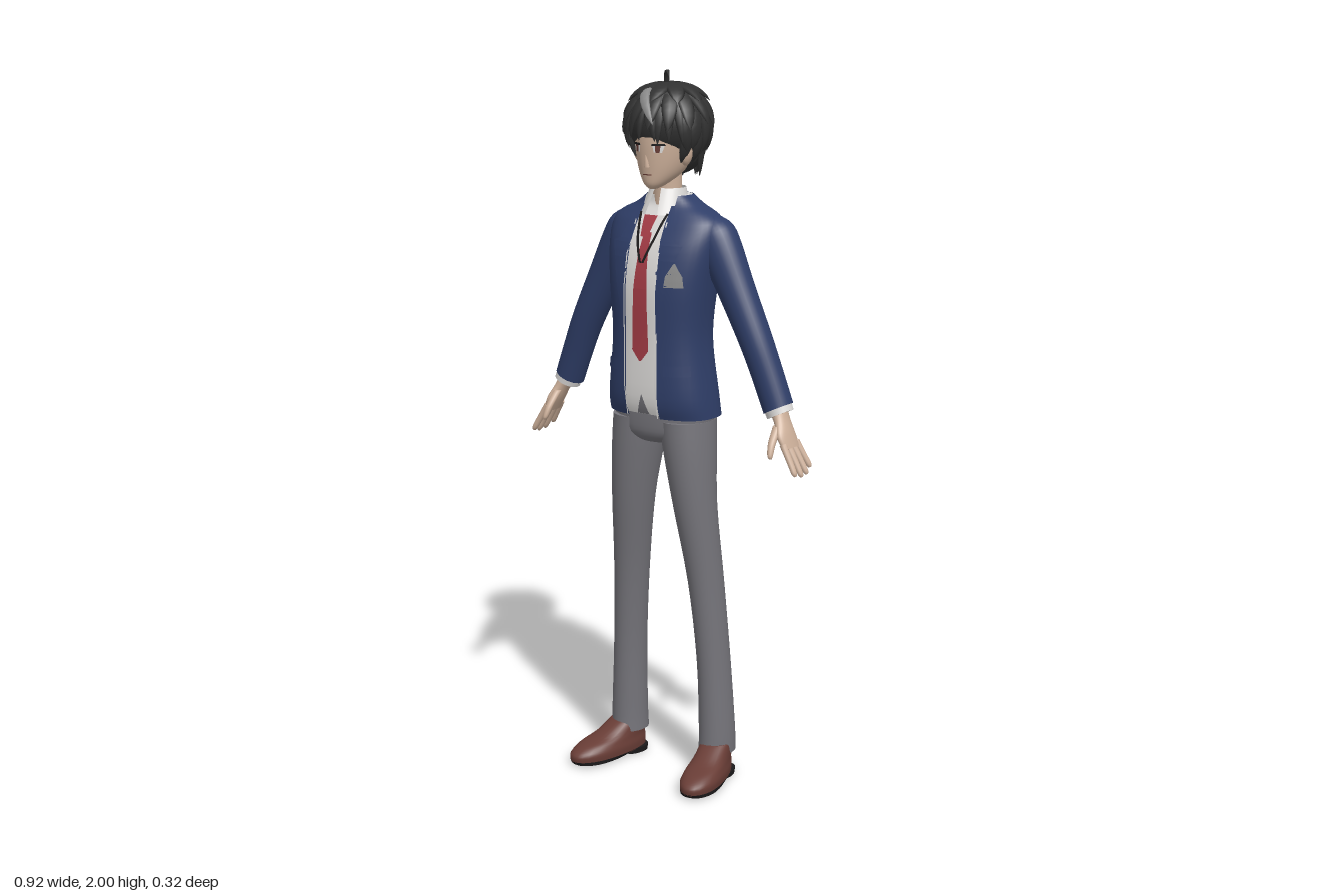
import * as THREE from 'three';

const V = (x, y, z) => new THREE.Vector3(x, y, z);
const mat = (name, color) => {
  const m = new THREE.MeshStandardMaterial({ color, side: THREE.DoubleSide });
  m.name = name;
  return m;
};

// Skin a list of rings (bottom to top) into one surface, closed and capped unless open.
function skin(rings, open = false) {
  const pos = [], idx = [], n = rings[0].length, m = open ? n - 1 : n;
  rings.forEach(r => r.forEach(p => pos.push(p.x, p.y, p.z)));
  for (let j = 0; j < rings.length - 1; j++) for (let i = 0; i < m; i++) {
    const a = j * n + i, b = j * n + (i + 1) % n;
    idx.push(a, b, b + n, a, b + n, a + n);
  }
  if (!open) [rings[0], rings[rings.length - 1]].forEach((r, end) => {
    const base = pos.length / 3, c = V(0, 0, 0);
    r.forEach(p => { pos.push(p.x, p.y, p.z); c.addScaledVector(p, 1 / n); });
    pos.push(c.x, c.y, c.z);
    for (let i = 0; i < n; i++) {
      const a = base + i, b = base + (i + 1) % n;
      end ? idx.push(a, b, base + n) : idx.push(b, a, base + n);
    }
  });
  const g = new THREE.BufferGeometry();
  g.setAttribute('position', new THREE.Float32BufferAttribute(pos, 3));
  g.setIndex(idx);
  g.computeVertexNormals();
  return g;
}

// Superellipse ring tilted about z; a gap leaves the front open.
function ring([x, y, z, a, b, tilt = 0], p = 1, n = 28, gap = 0) {
  const t0 = gap ? Math.asin(Math.min(1, Math.pow(gap / a, 1 / p))) : 0;
  const pw = v => Math.sign(v) * Math.pow(Math.abs(v), p);
  return Array.from({ length: n }, (_, i) => {
    const t = gap ? t0 + (2 * Math.PI - 2 * t0) * i / (n - 1) : 2 * Math.PI * i / n;
    const s = a * pw(Math.sin(t));
    return V(x + s * Math.cos(tilt), y + s * Math.sin(tilt), z + b * pw(Math.cos(t)));
  });
}

// Catmull-Rom smoothing of rows of numbers.
function smooth(rows, k = 4) {
  const out = [], at = i => rows[Math.max(0, Math.min(rows.length - 1, i))];
  for (let i = 0; i < rows.length - 1; i++) for (let s = 0; s < k; s++) {
    const t = s / k;
    out.push(rows[i].map((_, c) => {
      const [p, q, r, w] = [at(i - 1)[c], at(i)[c], at(i + 1)[c], at(i + 2)[c]];
      return q + 0.5 * t * (r - p + t * (2 * p - 5 * q + 4 * r - w + t * (3 * (q - r) + w - p)));
    }));
  }
  return [...out, at(rows.length - 1)];
}
const loft = (rows, p = 1, n = 28) => skin(smooth(rows).map(r => ring(r, p, n)));

// Front depth of a lofted body at (x, y).
function frontZ(rows, x, y, p) {
  let i = 0;
  while (i < rows.length - 2 && rows[i + 1][1] < y) i++;
  const t = THREE.MathUtils.clamp((y - rows[i][1]) / (rows[i + 1][1] - rows[i][1]), 0, 1);
  const [z, a, b] = [2, 3, 4].map(c => rows[i][c] + t * (rows[i + 1][c] - rows[i][c]));
  return z + b * Math.pow(Math.max(0, 1 - Math.pow(Math.abs(x) / a, 2 / p)), p / 2);
}

// Thin plate following a body: points are [y, xLeft, xRight] from bottom to top.
function plate(rows, p, pts, off, s = 1) {
  const out = [];
  for (let i = 0; i < pts.length - 1; i++) for (let k = 0; k <= 6; k++) {
    const [y, l, r] = pts[i].map((v, c) => v + (pts[i + 1][c] - v) * k / 6);
    const [x0, x1] = s > 0 ? [l, r] : [-r, -l];
    out.push(Array.from({ length: 6 }, (_, j) => {
      const x = x0 + (x1 - x0) * j / 5;
      return V(x, y, frontZ(rows, x, y, p) + off);
    }));
  }
  return skin(out, true);
}

// Pointed lock of hair along a curve, flattened against the head.
const HEAD = V(0, 1.86, -0.028);
function lock(p0, p1, p2, w, thick) {
  const c = new THREE.QuadraticBezierCurve3(p0, p1, p2), rings = [];
  for (let j = 0; j <= 6; j++) {
    const u = j / 6, q = c.getPoint(u), T = c.getTangent(u);
    const N = q.clone().sub(HEAD).addScaledVector(T, -q.clone().sub(HEAD).dot(T)).normalize();
    const S = T.clone().cross(N), f = Math.max(0.02, Math.pow(1 - u, 0.7) * (0.75 + 0.7 * u));
    rings.push(Array.from({ length: 8 }, (_, i) => q.clone()
      .addScaledVector(S, w * f * Math.sin(i * Math.PI / 4))
      .addScaledVector(N, thick * f * Math.cos(i * Math.PI / 4))));
  }
  return skin(rings);
}
const onHead = (az, el, r) => V(0.112 * r * Math.cos(el) * Math.sin(az), 0.106 * r * Math.sin(el),
  0.11 * r * Math.cos(el) * Math.cos(az)).add(HEAD);

export function createModel() {
  const root = new THREE.Group();
  root.name = 'student';
  const M = {
    skin: mat('skin', 0xcdb09a), hair: mat('hair black', 0x313131), grey: mat('silver grey', 0x8c8c8c),
    jacket: mat('navy cloth', 0x2f3e68), shirt: mat('white cloth', 0xdedcda), tie: mat('red cloth', 0xa53c46),
    pants: mat('grey cloth', 0x75747a), shoe: mat('brown leather', 0x693d36), dark: mat('black', 0x1c1a1b),
  };
  const add = (name, geo, m, parent = root) => {
    const mesh = new THREE.Mesh(geo, m);
    mesh.name = name;
    parent.add(mesh);
    return mesh;
  };
  let seed = 7;
  const rnd = () => (seed = (seed * 16807) % 2147483647) / 2147483647 - 0.5;

  // Torso: open jacket over a shirt
  const P = 0.8;
  const body = smooth([[0, 1.06, -0.015, 0.165, 0.103], [0, 1.12, -0.006, 0.16, 0.109], [0, 1.28, 0, 0.143, 0.103],
    [0, 1.42, -0.004, 0.155, 0.108], [0, 1.52, -0.017, 0.169, 0.103], [0, 1.585, -0.03, 0.172, 0.085],
    [0, 1.615, -0.035, 0.15, 0.07], [0, 1.64, -0.038, 0.1, 0.058], [0, 1.665, -0.035, 0.064, 0.052]]);
  const inner = body.slice(1).map(([x, y, z, a, b]) => [x, y, z, a * 0.95, b * 0.95]);
  add('jacket', skin(body.map(r => ring(r, P, 40, 0.052)), true), M.jacket);
  add('shirt', skin(inner.map(r => ring(r, P, 40))), M.shirt);
  add('shirtCollar', skin([ring([0, 1.615, -0.016, 0.066, 0.074], 1, 28, 0.02),
    ring([0, 1.685, -0.025, 0.05, 0.048], 1, 28, 0.01)], true), M.shirt);
  add('shirtNotch', plate(inner, P, [[1.07, -0.02, 0.02], [1.125, -0.001, 0.001]], 0.003), M.pants);
  add('tie', plate(inner, P, [[1.22, -0.003, 0.003], [1.25, -0.027, 0.027], [1.42, -0.022, 0.022],
    [1.57, -0.012, 0.012]], 0.008), M.tie);
  add('tieKnot', plate(inner, P, [[1.56, -0.012, 0.012], [1.615, -0.022, 0.022]], 0.022), M.tie);
  add('badge', plate(body, P, [[1.43, 0.075, 0.125], [1.46, 0.078, 0.122], [1.495, 0.098, 0.102]], 0.006), M.grey);
  for (const s of [1, -1]) {
    add('lapel', plate(body, P, [[1.3, 0.05, 0.054], [1.5, 0.05, 0.1], [1.54, 0.05, 0.115], [1.55, 0.048, 0.09],
      [1.64, 0.045, 0.056]], 0.006, s), M.jacket);
    add('frontTrim', plate(body, P, [[1.062, 0.049, 0.053], [1.6, 0.05, 0.054]], 0.008, s), M.shirt);
    add('neckCord', plate(inner, P, [[1.49, 0, 0.008], [1.55, 0.022, 0.03], [1.62, 0.04, 0.048]], 0.012, s), M.dark);
    add('pocketFlap', plate(body, P, [[1.185, 0.075, 0.138], [1.215, 0.075, 0.136]], 0.006, s), M.jacket);
  }
  add('hips', loft([[0, 0.985, -0.01, 0.07, 0.07], [0, 1.01, -0.01, 0.135, 0.09], [0, 1.06, -0.01, 0.154, 0.094],
    [0, 1.13, -0.008, 0.145, 0.09]], 0.9), M.pants);

  for (const s of [1, -1]) {
    const side = rows => rows.map(([x, y, z, a, b, t = 0]) => [x * s, y, z, a, b, t * s]);
    const T = 0.45;
    // Arm
    add('sleeve', loft(side([[0.358, 1.11, -0.038, 0.043, 0.042, T], [0.325, 1.195, -0.036, 0.044, 0.043, T],
      [0.285, 1.29, -0.034, 0.046, 0.046, T], [0.22, 1.42, -0.036, 0.052, 0.05, T],
      [0.165, 1.525, -0.04, 0.06, 0.056, T], [0.14, 1.572, -0.042, 0.055, 0.054, T],
      [0.12, 1.605, -0.042, 0.028, 0.035, T]])), M.jacket);
    add('cuff', loft(side([[0.366, 1.095, -0.036, 0.038, 0.038, T], [0.356, 1.118, -0.036, 0.039, 0.039, T]])), M.shirt);
    // Hand
    add('palm', loft(side([[0.412, 1.01, -0.022, 0.012, 0.036, T], [0.395, 1.045, -0.02, 0.016, 0.039, T],
      [0.377, 1.08, -0.028, 0.018, 0.03, T], [0.36, 1.11, -0.034, 0.024, 0.028, T]])), M.skin);
    [-0.053, -0.032, -0.011, 0.009].forEach((z, i) => {
      const L = [0.8, 0.97, 1, 0.92][i], dz = (i - 1.5) * 0.006;
      add('finger', loft(side([[0.41 + 0.045 * L, 1.015 - 0.076 * L, z + dz, 0.004, 0.004, T],
        [0.41 + 0.04 * L, 1.015 - 0.066 * L, z + dz, 0.008, 0.008, T],
        [0.41 + 0.022 * L, 1.015 - 0.035 * L, z + dz * 0.6, 0.009, 0.009, T],
        [0.405, 1.025, z, 0.01, 0.011, T]]), 1, 10), M.skin);
    });
    add('thumb', loft(side([[0.388, 0.99, 0.045, 0.004, 0.004], [0.386, 1.0, 0.043, 0.008, 0.008],
      [0.382, 1.03, 0.028, 0.011, 0.011], [0.378, 1.07, -0.005, 0.013, 0.014]]), 1, 10), M.skin);
    // Leg
    add('trouserLeg', loft(side([[0.155, 0.075, -0.052, 0.05, 0.06], [0.155, 0.15, -0.05, 0.049, 0.057],
      [0.147, 0.35, -0.043, 0.045, 0.054], [0.13, 0.58, -0.028, 0.048, 0.057], [0.107, 0.8, -0.007, 0.058, 0.068],
      [0.09, 0.95, -0.006, 0.069, 0.083], [0.078, 1.05, -0.01, 0.075, 0.092]])), M.pants);
    // Shoe, toes turned out
    const shoe = new THREE.Group();
    shoe.name = 'shoe';
    shoe.position.set(0.158 * s, 0, -0.052);
    shoe.rotation.y = 0.22 * s;
    root.add(shoe);
    const toe = g => { // narrower heel, wider toe
      const q = g.attributes.position;
      for (let i = 0; i < q.count; i++) q.setX(i, q.getX(i) * (0.88 + 0.9 * Math.min(0.18, Math.max(0, q.getZ(i) + 0.02))));
      g.computeVertexNormals();
      return g;
    };
    add('shoeUpper', toe(loft([[0, 0.014, 0.082, 0.054, 0.134], [0, 0.035, 0.081, 0.056, 0.134],
      [0, 0.055, 0.066, 0.052, 0.116], [0, 0.073, 0.035, 0.049, 0.085], [0, 0.105, 0.004, 0.046, 0.054]], 0.9)), M.shoe, shoe);
    add('sole', toe(loft([[0, 0.006, 0.11, 0.052, 0.1], [0, 0.016, 0.082, 0.055, 0.135]], 0.9)), M.dark, shoe);
    add('heel', toe(loft([[0, 0, -0.005, 0.05, 0.045], [0, 0.016, -0.005, 0.052, 0.047]], 0.8)), M.dark, shoe);
  }

  // Head
  const face = smooth([[0, 1.686, 0.044, 0.012, 0.014], [0, 1.7, 0.03, 0.032, 0.038], [0, 1.73, 0.004, 0.057, 0.068],
    [0, 1.77, -0.01, 0.073, 0.085], [0, 1.82, -0.015, 0.082, 0.091], [0, 1.88, -0.02, 0.085, 0.09],
    [0, 1.93, -0.025, 0.06, 0.065]]);
  add('neck', loft([[0, 1.6, -0.025, 0.046, 0.045], [0, 1.66, -0.022, 0.04, 0.04], [0, 1.75, -0.02, 0.04, 0.042]]), M.skin);
  add('face', skin(face.map(r => ring(r, 1, 32))), M.skin);
  const nose = add('nose', new THREE.ConeGeometry(0.009, 0.035, 8), M.skin);
  nose.position.set(0, 1.764, 0.075);
  nose.rotation.x = 0.25;
  add('mouth', plate(face, 1, [[1.724, -0.014, 0.014], [1.727, -0.015, 0.015]], 0.002), M.shoe);
  for (const s of [1, -1]) {
    add('eyeWhite', plate(face, 1, [[1.786, 0.023, 0.043], [1.806, 0.02, 0.05]], 0.002, s), M.shirt);
    add('iris', plate(face, 1, [[1.786, 0.028, 0.038], [1.806, 0.027, 0.041]], 0.003, s), M.shoe);
    add('lash', plate(face, 1, [[1.804, 0.018, 0.053], [1.81, 0.02, 0.05]], 0.004, s), M.dark);
    const ear = add('ear', new THREE.SphereGeometry(1, 12, 8), M.skin);
    ear.scale.set(0.012, 0.028, 0.018);
    ear.position.set(0.081 * s, 1.775, 0);
    ear.rotation.z = -0.25 * s;
  }

  // Hair: two rounded masses covered by rows of pointed locks
  const hair = new THREE.Group();
  hair.name = 'hair';
  root.add(hair);
  for (const [y, z, a, h, b] of [[1.86, -0.028, 0.112, 0.106, 0.11], [1.8, -0.06, 0.09, 0.085, 0.07]]) {
    const m = add('hairMass', new THREE.SphereGeometry(1, 28, 20), M.hair, hair);
    m.position.set(0, y, z);
    m.scale.set(a, h, b);
  }
  const B = 2 * Math.PI;
  const rows = [ // count, first azimuth, last azimuth, root and tip elevation, tip reach, half width
    [10, 0.3, B - 0.33, 1.3, 0.45, 1.12, 0.036], [14, 0.2, B - 0.25, 0.8, -0.05, 1.15, 0.03],
    [13, 0.95, B - 0.95, 0.3, -0.6, 1.16, 0.03], [11, 1.1, B - 1.1, -0.1, -1.0, 1.25, 0.027],
    [7, 1.9, B - 1.9, -0.45, -1.15, 1.55, 0.022], [8, -0.85, 0.85, 0.8, -0.38, 1.13, 0.021],
  ];
  for (const [n, a0, a1, e0, e1, reach, w] of rows) for (let i = 0; i < n; i++) {
    const az = a0 + (a1 - a0) * i / (n - 1), turn = rnd() * 0.35;
    add('lock', lock(onHead(az, e0, 0.97), onHead(az + turn * 0.3, (e0 + e1) / 2, 1.14),
      onHead(az + turn, e1 + rnd() * 0.22, reach + rnd() * 0.06), w, 0.011), M.hair, hair);
  }
  add('silverLock', lock(V(-0.022, 1.95, 0.03), V(-0.012, 1.945, 0.095), V(0.04, 1.862, 0.101), 0.022, 0.008), M.grey, hair);
  add('topCurl', lock(V(-0.012, 1.955, -0.035), V(-0.008, 2.024, -0.025), V(0.032, 1.982, 0.015), 0.01, 0.005), M.hair, hair);
  return root;
}
